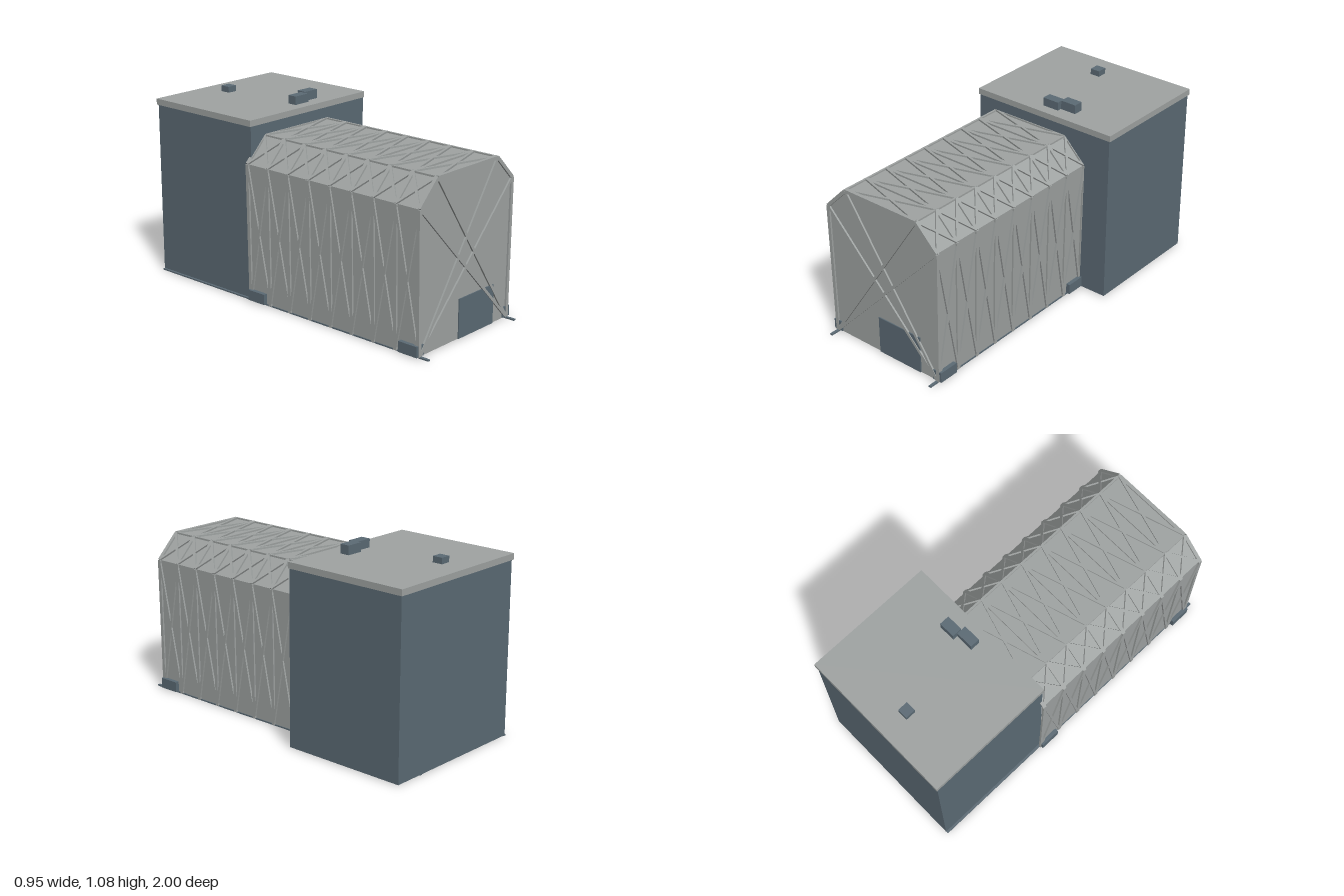
import * as THREE from 'three';

const grey = new THREE.MeshStandardMaterial({ color: 0xa0a4a3, side: THREE.DoubleSide });
grey.name = 'pale grey cladding';
const slate = new THREE.MeshStandardMaterial({ color: 0x5c6b75, side: THREE.DoubleSide });
slate.name = 'slate blue';

// Box given by its limits on each axis
function box(name, mat, x0, x1, y0, y1, z0, z1) {
  const mesh = new THREE.Mesh(new THREE.BoxGeometry(x1 - x0, y1 - y0, z1 - z0), mat);
  mesh.position.set((x0 + x1) / 2, (y0 + y1) / 2, (z0 + z1) / 2);
  mesh.name = name;
  return mesh;
}

// Flat bar from a to b, lying on a surface with the given outward normal
function bar(name, a, b, normal, width, depth) {
  const dir = b.clone().sub(a);
  const length = dir.length();
  dir.normalize();
  const out = normal.clone().addScaledVector(dir, -normal.dot(dir)).normalize();
  const side = new THREE.Vector3().crossVectors(dir, out);
  const mesh = new THREE.Mesh(new THREE.BoxGeometry(width, length, depth), grey);
  mesh.quaternion.setFromRotationMatrix(new THREE.Matrix4().makeBasis(side, dir, out));
  mesh.position.copy(a).add(b).multiplyScalar(0.5).addScaledVector(out, depth / 2 - 0.002);
  mesh.name = name;
  return mesh;
}

export function createModel() {
  const model = new THREE.Group();
  model.name = 'hangar';

  // Tall block with an open underside and a flat roof slab
  const walls = box('blockWalls', slate, -0.443, 0.466, 0.005, 0.992, -0.992, -0.25);
  const index = Array.from(walls.geometry.index.array);
  index.splice(18, 6);
  walls.geometry.setIndex(index);
  walls.geometry.clearGroups();
  model.add(walls);
  model.add(box('roofSlab', grey, -0.45, 0.473, 0.992, 1.027, -1, -0.246));

  // Roof equipment
  model.add(box('roofUnitBack', slate, -0.077, -0.018, 1.027, 1.061, -0.86, -0.8));
  model.add(box('roofUnitMiddle', slate, -0.033, 0.069, 1.027, 1.075, -0.365, -0.309));
  model.add(box('roofUnitSide', slate, 0.072, 0.168, 1.027, 1.079, -0.393, -0.335));

  // Hall shell: chamfered cross-section, open below and at the back
  const cx = -0.084, zFront = 0.935, zBack = -0.255;
  const half = [[0.368, 0.005], [0.379, 0.787], [0.245, 0.921]];
  const profile = [
    ...half.map(([x, y]) => new THREE.Vector2(cx - x, y)),
    ...half.map(([x, y]) => new THREE.Vector2(cx + x, y)).reverse(),
  ];
  const at = (p, z) => new THREE.Vector3(p.x, p.y, z);
  const points = [];
  for (let i = 0; i < 5; i++) {
    const a = profile[i], b = profile[i + 1];
    points.push(at(a, zFront), at(b, zFront), at(b, zBack), at(a, zFront), at(b, zBack), at(a, zBack));
  }
  const shellGeo = new THREE.BufferGeometry().setFromPoints(points);
  shellGeo.computeVertexNormals();
  const shell = new THREE.Mesh(shellGeo, grey);
  shell.name = 'hallShell';
  model.add(shell);

  const front = new THREE.Mesh(new THREE.ShapeGeometry(new THREE.Shape(profile)), grey);
  front.position.z = zFront;
  front.name = 'hallFront';
  model.add(front);

  // Outer lattice: one frame per bay edge, a cross in every bay of every face
  const lattice = new THREE.Group();
  lattice.name = 'lattice';
  const bays = 8, pitch = (zFront - zBack) / bays;
  for (let i = 0; i < 5; i++) {
    const a = profile[i], b = profile[i + 1];
    const normal = new THREE.Vector3(-(b.y - a.y), b.x - a.x, 0).normalize();
    for (let k = 0; k <= bays; k++) {
      const z = zFront - k * pitch;
      lattice.add(bar('frame', at(a, z), at(b, z), normal, 0.02, 0.012));
      if (k === bays) continue;
      lattice.add(bar('brace', at(a, z), at(b, z - pitch), normal, 0.014, 0.012));
      lattice.add(bar('brace', at(a, z - pitch), at(b, z), normal, 0.014, 0.012));
    }
  }
  // Long bars along the roof edges
  for (const i of [2, 3]) {
    lattice.add(bar('roofEdgeBar', at(profile[i], zFront), at(profile[i], zBack),
      new THREE.Vector3(0, 1, 0), 0.012, 0.01));
  }

  // Front rim and four long diagonals
  const forward = new THREE.Vector3(0, 0, 1);
  for (let i = 0; i < 5; i++) {
    lattice.add(bar('frontRim', at(profile[i], zFront), at(profile[i + 1], zFront), forward, 0.02, 0.012));
  }
  for (const [i, j] of [[0, 3], [0, 4], [5, 2], [5, 1]]) {
    lattice.add(bar('frontBrace', at(profile[i], zFront), at(profile[j], zFront), forward, 0.016, 0.012));
  }
  model.add(lattice);

  // Front door plate
  model.add(box('door', slate, -0.132, 0.162, 0.005, 0.226, 0.933, 0.941));

  // Ground rails and the four bogies that run on them
  for (const side of [-1, 1]) {
    const x = cx + side * 0.364;
    model.add(box('rail', slate, x - 0.008, x + 0.008, 0, 0.008, -0.99, 1));
    const inner = cx + side * 0.335, outer = cx + side * 0.392;
    for (const [z0, z1] of [[0.82, 0.942], [-0.258, -0.138]]) {
      model.add(box('bogie', slate, Math.min(inner, outer), Math.max(inner, outer), 0.008, 0.068, z0, z1));
    }
  }
  return model;
}
